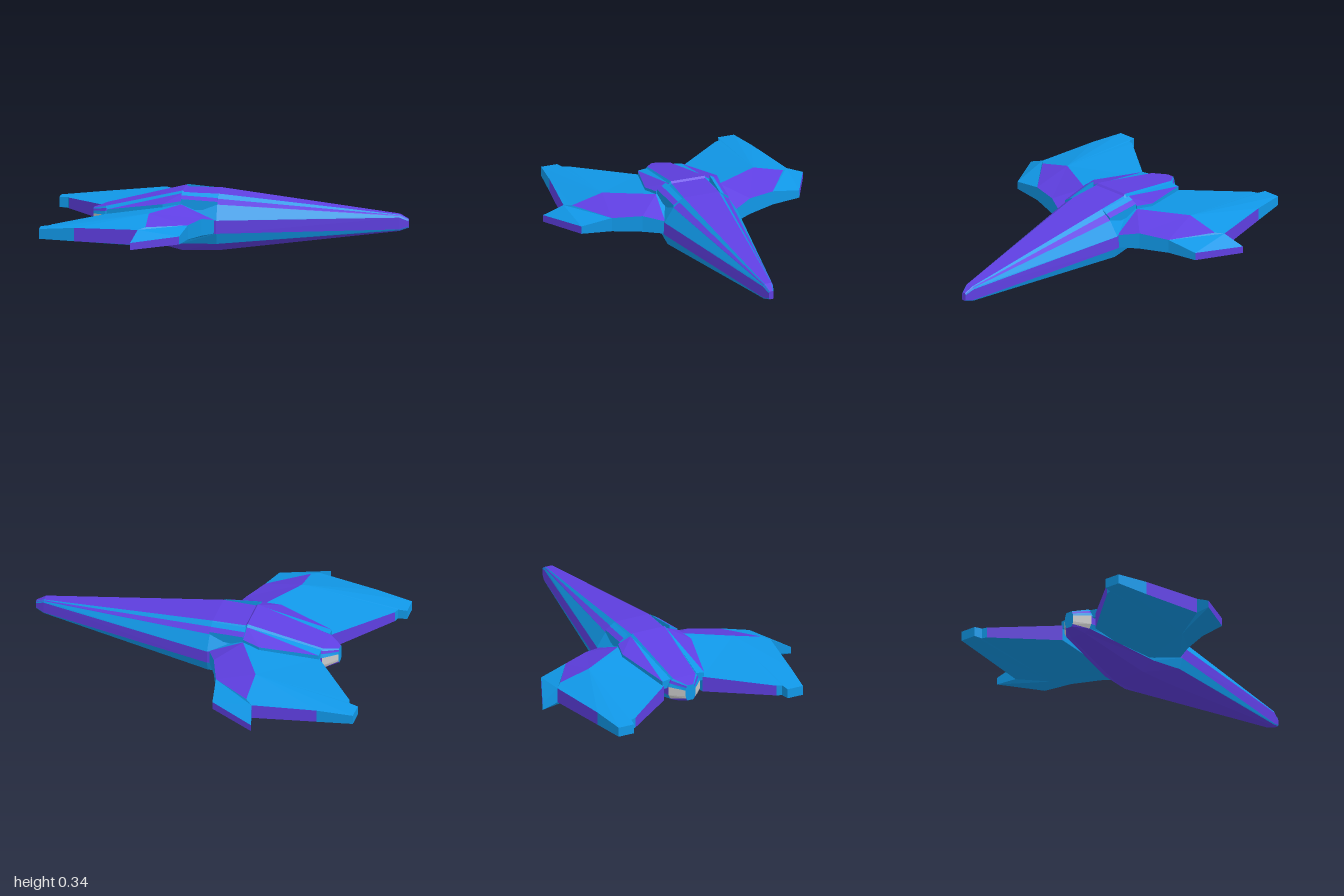
import * as THREE from 'three';

const MATERIALS = {};
for (const [key, color] of [['blue', 0x1098e8], ['purple', 0x5f3fe2], ['grey', 0xcccccc]])
  MATERIALS[key] = new THREE.MeshStandardMaterial({ color, flatShading: true });

// Collects flat polygons by colour and turns them into one mesh per colour
class Panels {
  constructor() { this.lists = {}; }
  add(color, pts, flip = false) {
    const list = (this.lists[color] ??= []);
    for (let i = 1; i < pts.length - 1; i++) {
      const tri = flip ? [pts[0], pts[i + 1], pts[i]] : [pts[0], pts[i], pts[i + 1]];
      list.push(...tri.flat());
    }
  }
  build(name) {
    const group = new THREE.Group();
    group.name = name;
    for (const [color, list] of Object.entries(this.lists)) {
      const geo = new THREE.BufferGeometry();
      geo.setAttribute('position', new THREE.Float32BufferAttribute(list, 3));
      geo.computeVertexNormals();
      const mesh = new THREE.Mesh(geo, MATERIALS[color]);
      mesh.name = name + '_' + color;
      group.add(mesh);
    }
    return group;
  }
}

// Hull lofted along x; each section is half a ring of [z, y], from top to belly
function fuselage() {
  const sections = [
    [1.0, [[.008, .18], [.01, .178], [.012, .175], [.014, .17], [.014, .14], [.012, .135], [.008, .132]]],
    [.95, [[.02, .207], [.023, .204], [.026, .2], [.03, .192], [.03, .126], [.027, .12], [.018, .115]]],
    [-.05, [[.105, .322], [.13, .297], [.165, .27], [.218, .188], [.22, .115], [.2, .055], [.1, .003]]],
    [-.24, [[.1, .325], [.125, .3], [.145, .27], [.18, .2], [.185, .115], [.17, .05], [.1, 0]]],
    [-.25, [[.1, .335], [.125, .308], [.14, .27], [.18, .2], [.185, .115], [.17, .05], [.1, 0]]],
    [-.68, [[.07, .236], [.08, .225], [.088, .21], [.098, .19], [.098, .14], [.085, .115], [.05, .098]]],
    [-.755, [[.018, .215], [.022, .21], [.026, .2], [.03, .185], [.03, .15], [.026, .135], [.018, .122]]],
  ];
  const foreColors = ['blue', 'purple', 'blue', 'purple', 'blue', 'purple'];
  const tailColors = ['blue', 'purple', 'blue', 'grey', 'grey', 'purple'];
  const p = new Panels();
  const at = (s, j, m) => [s[0], s[1][j][1], s[1][j][0] * m];
  for (let i = 0; i < sections.length - 1; i++) {
    const a = sections[i], b = sections[i + 1];
    const colors = i === sections.length - 2 ? tailColors : foreColors;
    for (const m of [1, -1])
      for (let j = 0; j < 6; j++)
        p.add(colors[j], [at(a, j, m), at(b, j, m), at(b, j + 1, m), at(a, j + 1, m)], m < 0);
    // roof and belly strips
    p.add('purple', [at(a, 0, 1), at(a, 0, -1), at(b, 0, -1), at(b, 0, 1)]);
    p.add('purple', [at(a, 6, 1), at(b, 6, 1), at(b, 6, -1), at(a, 6, -1)]);
  }
  // nose and tail ends
  const ring = (s) => [...s[1].keys()].map((j) => at(s, j, 1))
    .concat([...s[1].keys()].reverse().map((j) => at(s, j, -1)));
  p.add('purple', ring(sections[0]));
  p.add('blue', ring(sections.at(-1)), true);
  return p.build('fuselage');
}

// Plate from an outline of [x, z, yTop, yBottom], extra top points and a low point beneath
function plate(name, m, { outline, inner = [], top, low, edges = {} }) {
  const p = new Panels();
  const tops = [...outline, ...inner].map(([x, z, y]) => [x, y, z * m]);
  const bottoms = outline.map(([x, z, , y]) => [x, y, z * m]);
  const center = [low[0], low[1], low[2] * m];
  for (const [color, ...ids] of top) p.add(color, ids.map((i) => tops[i]), m > 0);
  outline.forEach((_, i) => {
    const k = (i + 1) % outline.length;
    p.add(edges[i] ?? 'blue', [tops[i], tops[k], bottoms[k], bottoms[i]], m < 0);
    p.add('blue', [center, bottoms[i], bottoms[k]], m < 0);
  });
  return p.build(name);
}

const wing = {
  outline: [
    [-.06, .21, .19, .115], [-.12, .32, .215, .12], [-.18, .48, .205, .125],
    [-.21, .65, .17, .125], [-.47, .775, .15, .11], [-.44, .665, .205, .12],
    [-.8, .605, .2, .125], [-1, .575, .185, .13], [-1, .48, .185, .13],
    [-.95, .47, .19, .13], [-.94, .44, .19, .13], [-.67, .12, .2, .11], [-.25, .12, .27, .055],
  ],
  inner: [[-.4, .63, .215], [-.4, .45, .262], [-.25, .19, .272]],
  top: [
    // raised leading band
    ['purple', 2, 13, 14], ['purple', 2, 14, 1], ['purple', 1, 14, 15], ['purple', 1, 15, 0],
    // drooped tip
    ['blue', 2, 3, 5, 13], ['blue', 3, 4, 5],
    // aft surface
    ['blue', 13, 5, 6, 14], ['blue', 14, 6, 7, 8], ['blue', 14, 8, 9, 10],
    ['blue', 14, 10, 11], ['blue', 14, 11, 12, 15], ['blue', 15, 12, 0],
  ],
  low: [-.35, .08, .48],
  edges: { 3: 'purple', 5: 'purple', 10: 'purple' },
};

// Wedge fairing between spine and wing
const fairing = {
  outline: [[-.25, .11, .322, .2], [-.25, .19, .29, .2], [-.35, .215, .275, .2], [-.67, .13, .226, .18], [-.67, .08, .232, .18]],
  top: [['blue', 0, 3, 4], ['purple', 0, 1, 2, 3]],
  low: [-.4, .19, .14],
};

// Tilted rail beside the cabin roof
const rail = {
  outline: [[-.05, .112, .318, .24], [-.05, .165, .285, .24], [-.25, .182, .3, .24], [-.25, .13, .333, .24]],
  inner: [[-.05, .138, .302], [-.25, .155, .317]],
  top: [['blue', 0, 4, 5, 3], ['purple', 4, 1, 2, 5]],
  low: [-.15, .23, .145],
};

export function createModel() {
  const model = new THREE.Group();
  model.name = 'spacecraft';
  model.add(fuselage());
  for (const m of [1, -1]) {
    const side = m > 0 ? 'front' : 'back';
    model.add(plate(side + 'Wing', m, wing));
    model.add(plate(side + 'Fairing', m, fairing));
    model.add(plate(side + 'CabinRail', m, rail));
  }
  return model;
}
